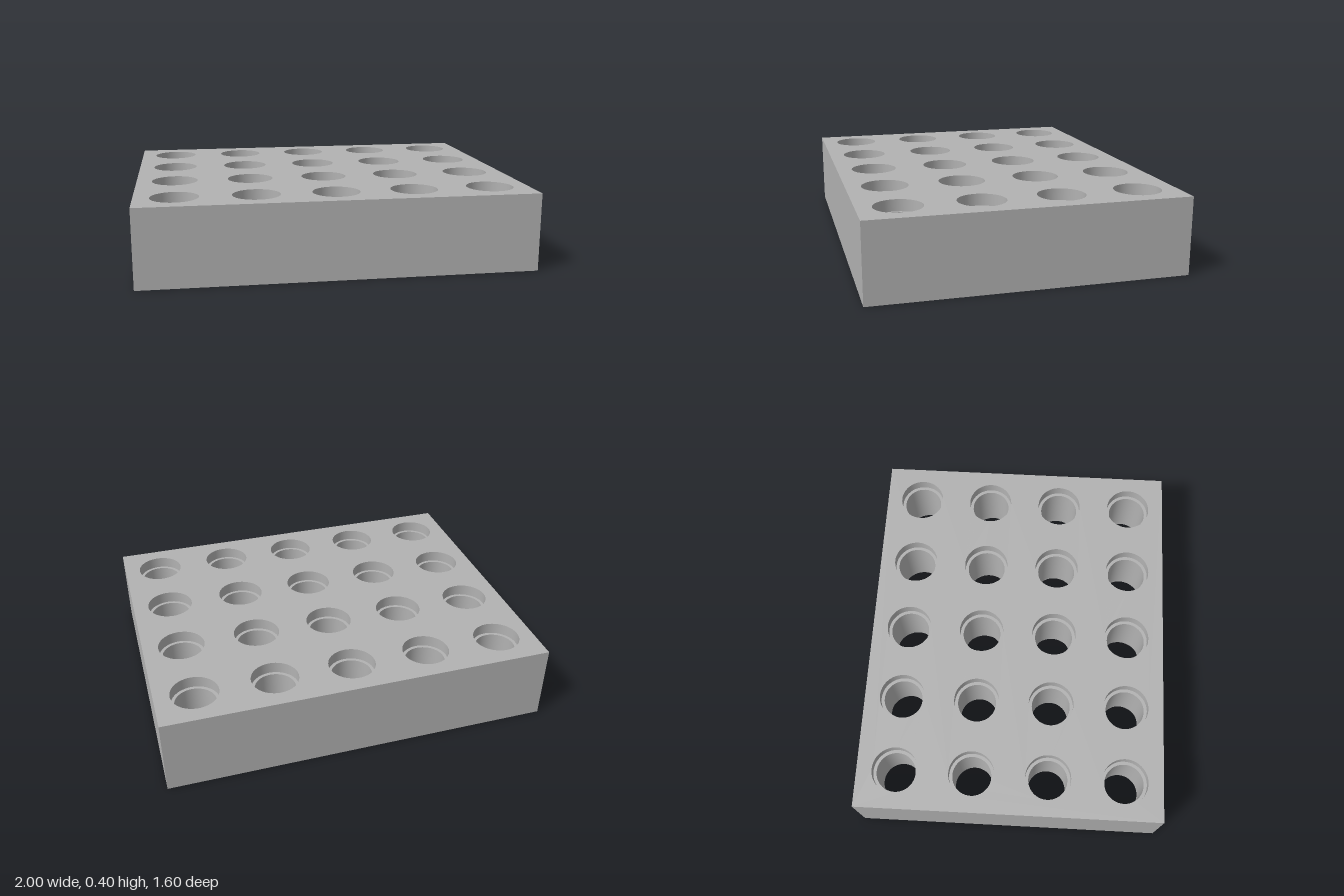
import * as THREE from 'three';

const W = 2, D = 1.6, H = 0.4;      // block size
const PITCH = 0.4, COLS = 5, ROWS = 4;
const R_OUT = 0.12, R_IN = 0.103;   // counterbore and bore radii
const DEPTH = 0.06;                 // counterbore depth, top and bottom

export function createModel() {
  const model = new THREE.Group();
  const grey = new THREE.MeshStandardMaterial({ color: 0xb2b2b2 });
  grey.name = 'grey';

  const add = (geometry, name, parent = model) => {
    const mesh = new THREE.Mesh(geometry, grey);
    mesh.name = name;
    parent.add(mesh);
    return mesh;
  };

  // Hole centres on a regular grid
  const centres = [];
  for (let i = 0; i < COLS; i++)
    for (let j = 0; j < ROWS; j++)
      centres.push([(i - (COLS - 1) / 2) * PITCH, (j - (ROWS - 1) / 2) * PITCH]);

  // Perforated top and bottom faces
  const outline = new THREE.Shape();
  outline.moveTo(-W / 2, -D / 2).lineTo(W / 2, -D / 2).lineTo(W / 2, D / 2).lineTo(-W / 2, D / 2).closePath();
  for (const [x, z] of centres) outline.holes.push(new THREE.Path().absarc(x, z, R_OUT, 0, Math.PI * 2, true));
  const face = new THREE.ShapeGeometry(outline, 24);
  add(face.clone().rotateX(-Math.PI / 2).translate(0, H, 0), 'topFace');
  add(face.clone().rotateX(Math.PI / 2), 'bottomFace');

  // Four outer walls
  ['front', 'left', 'back', 'right'].forEach((side, i) => {
    const [width, offset] = i % 2 ? [D, W / 2] : [W, D / 2];
    const wall = new THREE.PlaneGeometry(width, H).translate(0, H / 2, offset).rotateY(i * Math.PI / 2);
    add(wall, side + 'Wall');
  });

  // Stepped through-hole: each profile segment is its own lathe, so edges stay sharp
  const profile = [
    [R_OUT, H], [R_OUT, H - DEPTH], [R_IN, H - DEPTH],
    [R_IN, DEPTH], [R_OUT, DEPTH], [R_OUT, 0],
  ].map(([r, y]) => new THREE.Vector2(r, y));
  const names = ['upperCounterbore', 'upperLedge', 'bore', 'lowerLedge', 'lowerCounterbore'];
  const segments = names.map((_, k) => new THREE.LatheGeometry([profile[k], profile[k + 1]], 48));
  for (const [x, z] of centres) {
    const hole = new THREE.Group();
    hole.name = 'steppedHole';
    hole.position.set(x, 0, z);
    names.forEach((name, k) => add(segments[k], name, hole));
    model.add(hole);
  }
  return model;
}
